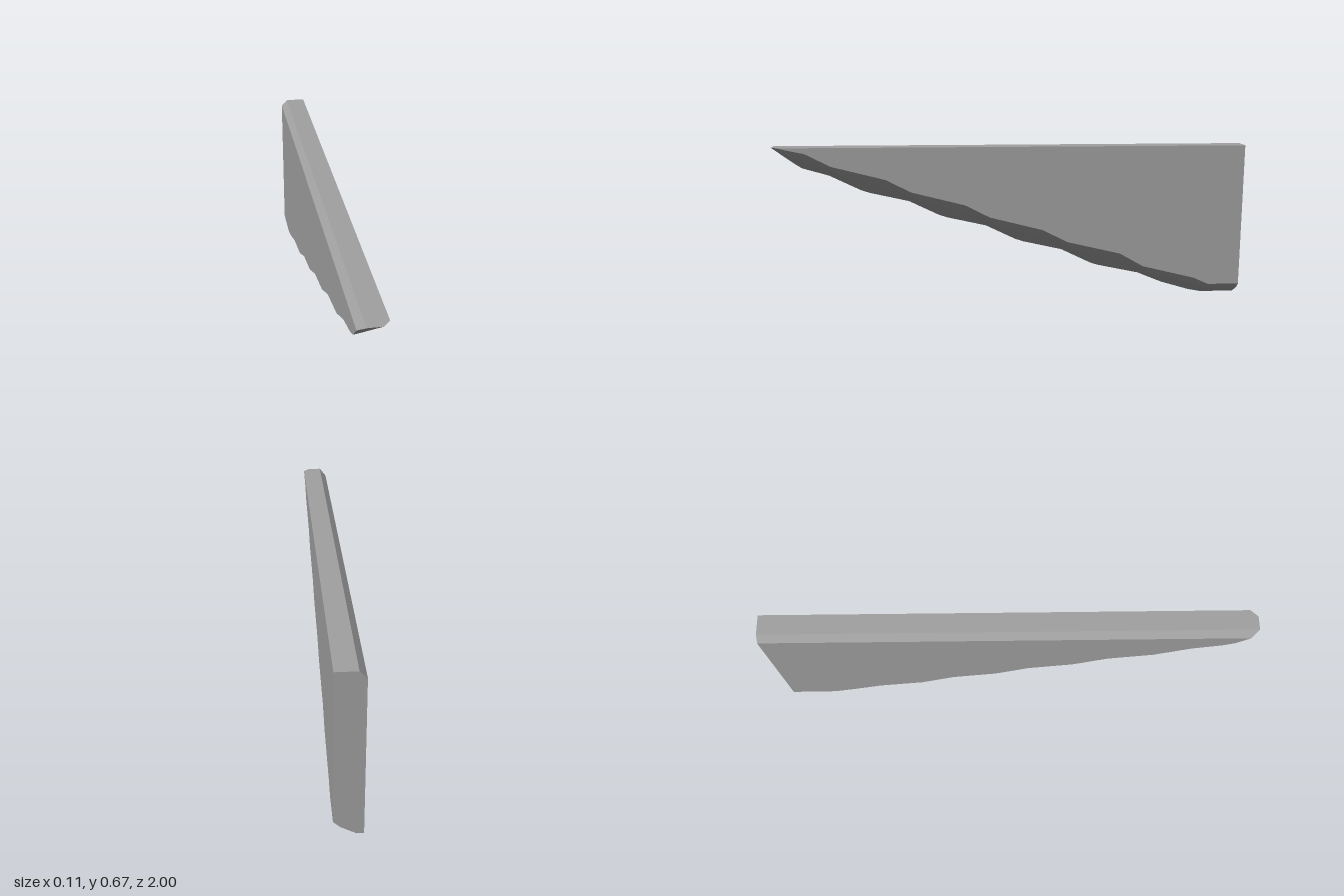
import * as THREE from 'three';

// Column positions across the plank, from its left side (+x) to its right side (-x)
const X = [0.055, 0.028, -0.028, -0.055];
const TOP = [0.665, 0.665, 0.665, 0.638];

// Each row: [z, y] of the lower edge on the left side, then on the right side
const edges = [
  [-1, 0.055, -1, 0],
  [-0.865, 0.056, -0.85, 0],
  [-0.80, 0.085, -0.80, 0.004],
  [-0.575, 0.14, -0.71, 0.034],
  [-0.473, 0.198, -0.58, 0.082],
];
// Repeating skewed notch and ridge of the carved underside
for (let k = 0; k < 4; k++) {
  const dz = 0.332 * k, dy = 0.1115 * k;
  edges.push([-0.243 + dz, 0.252 + dy, -0.39 + dz, 0.122 + dy]);
  edges.push([-0.137 + dz, 0.306 + dy, -0.243 + dz, 0.192 + dy]);
}
edges.push([0.93, 0.655, 0.87, 0.56]);

// Expand an edge pair to four [z, y] columns with a rounded lower corner
function expand([zl, yl, zr, yr]) {
  const sag = [0, 0.011, 0.014, 0];
  return X.map((x, i) => {
    const t = (0.055 - x) / 0.11;
    return [zl + (zr - zl) * t, yl + (yr - yl) * t - sag[i]];
  });
}

function plankGeometry() {
  const rows = edges.map(expand);
  // Steep facet and chamfered nose at the front tip
  rows.push([[0.97, 0.665], [1, 0.665], [0.945, 0.61], [0.92, 0.585]]);
  rows.push([[0.97, 0.665], [1, 0.665], [1, 0.665], [0.97, 0.638]]);

  // Closed ring per row: underside columns, then back along the top
  const rings = rows.map((row) => {
    const under = row.map(([z, y], i) => [X[i], y, z]);
    const over = row.map(([z], i) => [X[i], TOP[i], z]).reverse();
    return [...under, ...over];
  });

  const pos = [];
  const tri = (a, b, c) => pos.push(...a, ...b, ...c);
  for (let i = 0; i < rings.length - 1; i++) {
    const A = rings[i], B = rings[i + 1], n = A.length;
    for (let j = 0; j < n; j++) {
      const k = (j + 1) % n;
      tri(A[j], B[j], B[k]);
      tri(A[j], B[k], A[k]);
    }
  }
  // Flat back end
  const back = rings[0];
  for (let j = 1; j < back.length - 1; j++) tri(back[0], back[j], back[j + 1]);

  const geo = new THREE.BufferGeometry();
  geo.setAttribute('position', new THREE.Float32BufferAttribute(pos, 3));
  geo.computeVertexNormals();
  return geo;
}

export function createModel() {
  const group = new THREE.Group();
  group.name = 'carvedBracket';
  const grey = new THREE.MeshStandardMaterial({ color: 0xa0a0a0 });
  grey.name = 'grey';
  grey.flatShading = true;
  const plank = new THREE.Mesh(plankGeometry(), grey);
  plank.name = 'wavyBracketPlank';
  group.add(plank);
  return group;
}
